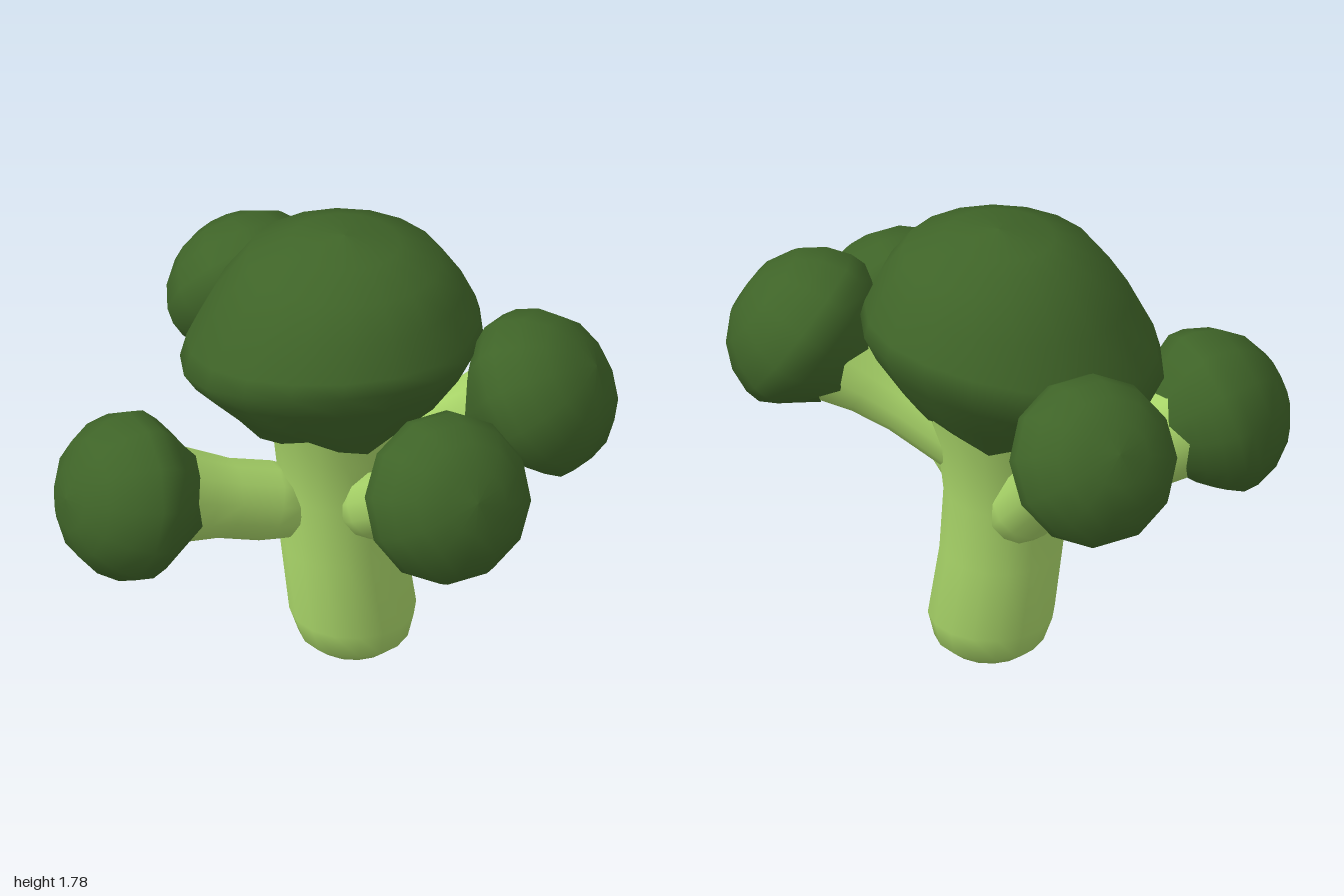
import * as THREE from 'three';

const GREEN = new THREE.MeshStandardMaterial({ color: 0x3f6428, side: THREE.DoubleSide });
const PALE = new THREE.MeshStandardMaterial({ color: 0xa8d468, side: THREE.DoubleSide });
const UP = new THREE.Vector3(0, 1, 0);

// Lathe from [radius, height] pairs, listed from bottom to top
function lathe(points, sides) {
  return new THREE.LatheGeometry(points.map(([r, y]) => new THREE.Vector2(r, y)), sides);
}

// Move every vertex by a rule; the lathe's seamless normals are kept
function reshape(geometry, rule) {
  const pos = geometry.attributes.position;
  const v = new THREE.Vector3();
  for (let i = 0; i < pos.count; i++) {
    v.fromBufferAttribute(pos, i);
    rule(v);
    pos.setXYZ(i, v.x, v.y, v.z);
  }
  return geometry;
}

function part(name, geometry, material) {
  const mesh = new THREE.Mesh(geometry, material);
  mesh.name = name;
  return mesh;
}

// Ragged lower edge where the green head meets the pale stem
function ragged(v, edge, amount) {
  if (v.y < edge) v.y += amount * Math.sin(5 * Math.atan2(v.z, v.x));
}

// Side floret: a half dome with a funnel underside on a flared branch
function makeFloret({ name, start, center, axis, radius }) {
  const group = new THREE.Group();
  group.name = name;
  const dir = new THREE.Vector3(...axis).normalize();
  const mid = new THREE.Vector3(...center);
  const from = new THREE.Vector3(...start);
  const to = mid.clone().addScaledVector(dir, -0.11);

  const headShape = lathe([
    [0.185, -0.18], [0.235, -0.13], [0.285, -0.07], [0.32, -0.01], [0.318, 0.05],
    [0.285, 0.14], [0.22, 0.22], [0.12, 0.275], [0, 0.29],
  ], 12);
  const head = part('floretHead', reshape(headShape, (v) => ragged(v, -0.15, 0.025)), GREEN);
  head.position.copy(mid);
  head.quaternion.setFromUnitVectors(UP, dir);

  const length = from.distanceTo(to);
  const branch = part('branch', lathe([
    [0, -0.13], [radius * 0.55, -0.11], [radius * 0.92, -0.05], [radius, 0.04],
    [radius, length * 0.45], [radius + 0.02, length * 0.7], [0.185, length * 0.9], [0.2, length],
  ], 12), PALE);
  branch.position.copy(from);
  branch.quaternion.setFromUnitVectors(UP, to.clone().sub(from).normalize());

  group.add(head, branch);
  return group;
}

export function createModel() {
  const model = new THREE.Group();
  model.name = 'broccoli';

  // Main stalk: rounded foot, slight lean to the right, flaring at the top
  const stalkShape = lathe([
    [0, 0.005], [0.15, 0.012], [0.205, 0.06], [0.234, 0.16], [0.229, 0.45],
    [0.224, 0.7], [0.245, 0.9], [0.285, 1.04], [0.3, 1.14],
  ], 16);
  reshape(stalkShape, (v) => {
    v.x -= 0.055 * THREE.MathUtils.smoothstep(v.y, 0.05, 0.6) + 0.005;
    v.z -= 0.05;
  });
  model.add(part('stalk', stalkShape, PALE));

  // Crown: broad dome whose rim droops on the right
  const crownShape = lathe([
    [0.31, 1.02], [0.4, 1.12], [0.5, 1.27], [0.545, 1.37], [0.525, 1.43],
    [0.45, 1.56], [0.35, 1.685], [0.2, 1.755], [0, 1.785],
  ], 18);
  reshape(crownShape, (v) => {
    const nx = v.x / 0.545;
    const droop = THREE.MathUtils.clamp(1 - Math.abs(v.y - 1.34) / 0.36, 0, 1);
    const top = THREE.MathUtils.smoothstep(v.y, 1.35, 1.75);
    ragged(v, 1.06, 0.03);
    v.y += droop * (0.1 * nx - 0.09 * nx * nx);
    v.x = v.x * 1.035 - 0.085 + 0.05 * top;
    v.z = v.z * 0.95 - 0.03;
  });
  crownShape.computeVertexNormals();
  // Join the normals across the lathe seam
  const normal = crownShape.attributes.normal;
  const row = 9;
  const last = normal.count - row;
  for (let i = 0; i < row; i++) {
    const n = new THREE.Vector3().fromBufferAttribute(normal, i)
      .add(new THREE.Vector3().fromBufferAttribute(normal, last + i)).normalize();
    normal.setXYZ(i, n.x, n.y, n.z);
    normal.setXYZ(last + i, n.x, n.y, n.z);
  }
  model.add(part('crown', crownShape, GREEN));

  // Four side florets
  [
    { name: 'frontLeftFloret', start: [0.12, 0.71, 0.1], center: [0.5, 1.05, 0.47], axis: [0.6, 0.4, 0.6], radius: 0.13 },
    { name: 'frontRightFloret', start: [-0.27, 0.65, 0.09], center: [-0.69, 0.825, 0.46], axis: [-0.66, 0.2, 0.6], radius: 0.15 },
    { name: 'leftFloret', start: [0.06, 0.87, -0.07], center: [0.69, 1.22, -0.035], axis: [0.82, 0.57, -0.03], radius: 0.13 },
    { name: 'backRightFloret', start: [-0.17, 0.7, -0.19], center: [-0.53, 1.15, -0.5], axis: [-0.52, 0.5, -0.55], radius: 0.13 },
  ].forEach((spec) => model.add(makeFloret(spec)));

  return model;
}
